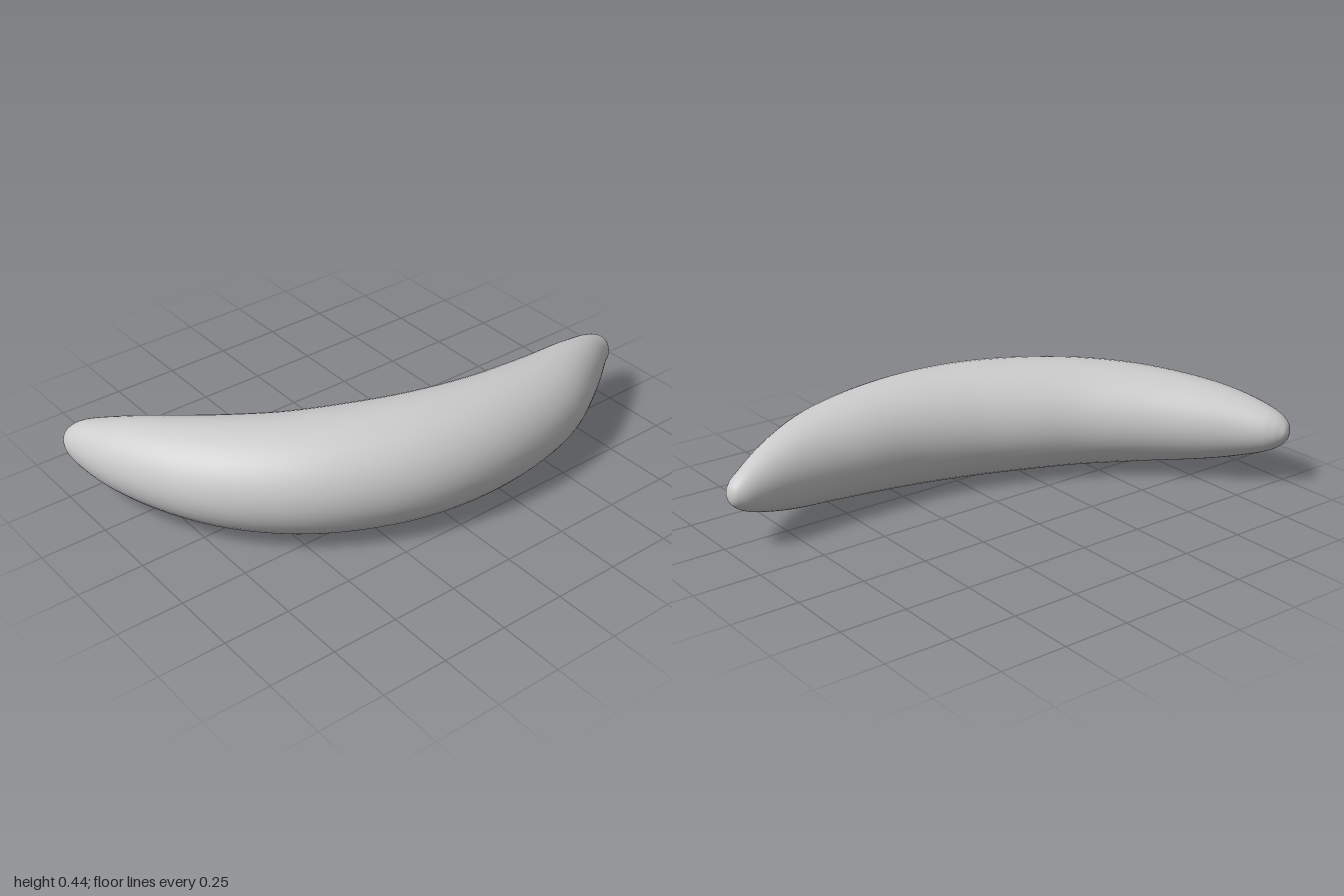
import * as THREE from 'three';

// Stations along the fruit: centre x, centre z, half width (in plan), half height
const STATIONS = [
  [-0.945, -0.562, 0, 0],
  [-0.942, -0.553, 0.03, 0.03],
  [-0.937, -0.532, 0.054, 0.055],
  [-0.923, -0.49, 0.079, 0.082],
  [-0.84, -0.318, 0.138, 0.14],
  [-0.665, -0.065, 0.198, 0.186],
  [-0.478, 0.11, 0.223, 0.207],
  [-0.29, 0.22, 0.232, 0.217],
  [-0.05, 0.31, 0.226, 0.219],
  [0.23, 0.35, 0.205, 0.207],
  [0.515, 0.33, 0.174, 0.179],
  [0.75, 0.265, 0.115, 0.139],
  [0.915, 0.208, 0.066, 0.084],
  [0.97, 0.2, 0.046, 0.054],
  [0.993, 0.2, 0.025, 0.028],
  [1.0, 0.2, 0, 0],
];
const MID_HEIGHT = 0.22;

function bananaGeometry(rings = 90, sides = 40) {
  // Two splines share the centre line; their y carries half width and half height
  const spline = k => new THREE.CatmullRomCurve3(
    STATIONS.map(s => new THREE.Vector3(s[0], s[k], s[1])), false, 'centripetal');
  const widths = spline(2), heights = spline(3);
  const positions = [], indices = [];

  for (let i = 0; i <= rings; i++) {
    const t = i / rings;
    const c = widths.getPoint(t);
    const halfHeight = Math.max(0, heights.getPoint(t).y);
    const halfWidth = Math.max(0, c.y);
    // Direction of the centre line, flattened into the ground plane
    const dir = widths.getPoint(Math.min(1, t + 0.02))
      .sub(widths.getPoint(Math.max(0, t - 0.02))).setY(0).normalize();
    for (let j = 0; j < sides; j++) {
      const a = (j / sides) * Math.PI * 2;
      const w = Math.cos(a) * halfWidth;
      positions.push(c.x - dir.z * w, MID_HEIGHT + Math.sin(a) * halfHeight, c.z + dir.x * w);
      if (i < rings) {
        const k = (j + 1) % sides;
        const p = i * sides + j, q = i * sides + k;
        indices.push(p, p + sides, q, q, p + sides, q + sides);
      }
    }
  }
  const geometry = new THREE.BufferGeometry();
  geometry.setAttribute('position', new THREE.Float32BufferAttribute(positions, 3));
  geometry.setIndex(indices);
  geometry.computeVertexNormals();
  return geometry;
}

export function createModel() {
  const group = new THREE.Group();
  group.name = 'banana';
  // Curved, tapering body with rounded tips
  const body = new THREE.Mesh(bananaGeometry(), new THREE.MeshStandardMaterial({ color: 0xcccccc }));
  body.name = 'bananaBody';
  group.add(body);
  return group;
}
